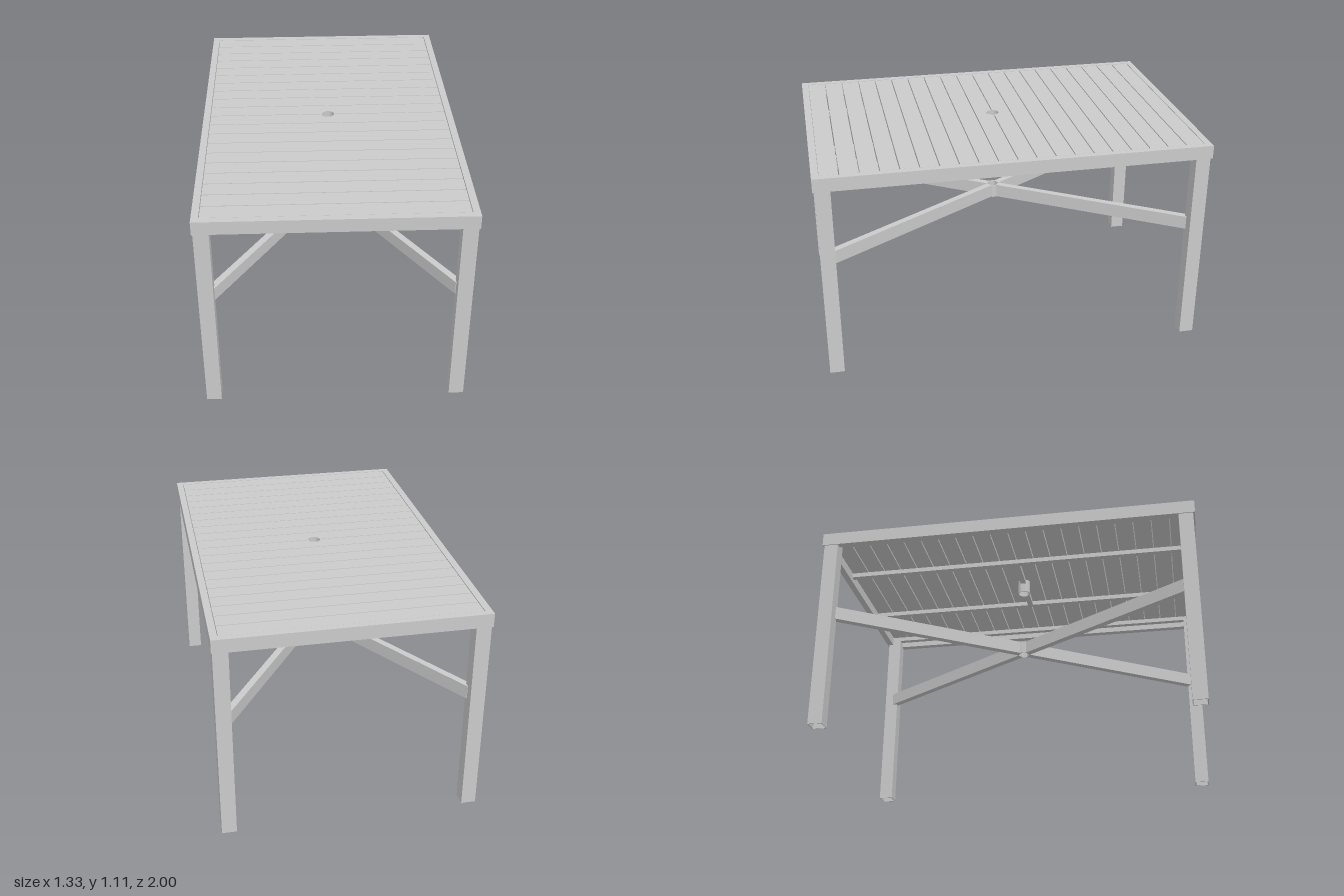
import * as THREE from 'three';
import { toCreasedNormals } from 'three/addons/utils/BufferGeometryUtils.js';

const HALF_X = 0.665, HALF_Z = 1, TOP = 1.11;
const RIM = 0.035, RIM_H = 0.07;
const HOLE_R = 0.031, PIPE_R = 0.035;

export function createModel() {
  const model = new THREE.Group();
  model.name = 'patioTable';
  const metal = new THREE.MeshStandardMaterial({ color: 0xcacaca });
  metal.name = 'grey metal';

  const add = (name, geometry, x = 0, y = 0, z = 0, turn = 0) => {
    const mesh = new THREE.Mesh(geometry, metal);
    mesh.name = name;
    mesh.position.set(x, y, z);
    mesh.rotation.y = turn;
    model.add(mesh);
    return mesh;
  };

  // Plan outline (x, z) extruded downwards from y = 0
  const slab = (shape, depth) =>
    new THREE.ExtrudeGeometry(shape, { depth, bevelEnabled: false, curveSegments: 16 }).rotateX(Math.PI / 2);

  const rect = (Type, hx, hz) => new Type([
    new THREE.Vector2(-hx, -hz), new THREE.Vector2(hx, -hz),
    new THREE.Vector2(hx, hz), new THREE.Vector2(-hx, hz),
  ]);

  // Rectangular tube seen in plan
  const hollow = (hx, hz, wall, depth) => {
    const shape = rect(THREE.Shape, hx, hz);
    shape.holes.push(rect(THREE.Path, hx - wall, hz - wall));
    return slab(shape, depth);
  };

  // Upright round pipe with a clear bore
  const pipe = (y0, y1) => toCreasedNormals(new THREE.LatheGeometry([
    [HOLE_R, y0], [PIPE_R, y0], [PIPE_R, y1], [HOLE_R, y1], [HOLE_R, y0],
  ].map(([r, y]) => new THREE.Vector2(r, y)), 24), 0.6);

  // Table rim
  add('topFrame', hollow(HALF_X, HALF_Z, RIM, RIM_H), 0, TOP, 0);

  // Slats, the middle two notched for the pole hole
  const count = 20, gap = 0.005, thick = 0.02;
  const spanZ = HALF_Z - RIM, pitch = 2 * spanZ / count;
  const slatX = HALF_X - RIM - 0.003, slatTop = TOP - 0.001;
  const slat = new THREE.BoxGeometry(2 * slatX, thick, pitch - gap);
  const edge = gap / 2, a = Math.asin(edge / PIPE_R);
  const notched = new THREE.Shape();
  notched.moveTo(-slatX, edge);
  notched.lineTo(-PIPE_R * Math.cos(a), edge);
  notched.absarc(0, 0, PIPE_R, Math.PI - a, a, true);
  notched.lineTo(slatX, edge);
  notched.lineTo(slatX, pitch - edge);
  notched.lineTo(-slatX, pitch - edge);
  const notchedSlat = slab(notched, thick);
  for (let i = 0; i < count; i++) {
    if (i === count / 2 - 1) add('notchedSlat', notchedSlat, 0, slatTop, 0, Math.PI);
    else if (i === count / 2) add('notchedSlat', notchedSlat, 0, slatTop, 0);
    else add('slat', slat, 0, slatTop - thick / 2, -spanZ + (i + 0.5) * pitch);
  }

  // Pole sleeve below the hole and ring where the braces cross
  add('poleSleeve', pipe(1.012, TOP));
  add('braceRing', pipe(0.615, 0.685));

  // Supports under the slats
  const beamY = slatTop - thick - 0.0125;
  const beam = new THREE.BoxGeometry(0.03, 0.025, 2 * spanZ + 0.01);
  const crossBar = new THREE.BoxGeometry(0.22, 0.025, 0.03);
  for (const s of [-1, 1]) {
    add('supportBeam', beam, s * 0.25, beamY, 0);
    add('sideLedge', beam, s * 0.6, beamY, 0);
    add('crossBar', crossBar, s * 0.143, beamY, 0);
  }

  // Hollow legs and the diagonal braces that meet at the ring
  const legX = 0.6225, legZ = 0.9525;
  const legTop = slatTop - thick;
  const leg = hollow(0.0375, 0.0375, 0.004, legTop);
  const start = 0.027, end = 1.108;
  const brace = new THREE.BoxGeometry(0.035, 0.07, end - start);
  brace.translate(0, 0, (start + end) / 2);
  for (const sx of [-1, 1]) {
    for (const sz of [-1, 1]) {
      add('leg', leg, sx * legX, legTop, sz * legZ);
      add('diagonalBrace', brace, 0, 0.65, 0, Math.atan2(sx * 0.585, sz * 0.915));
    }
  }
  return model;
}
